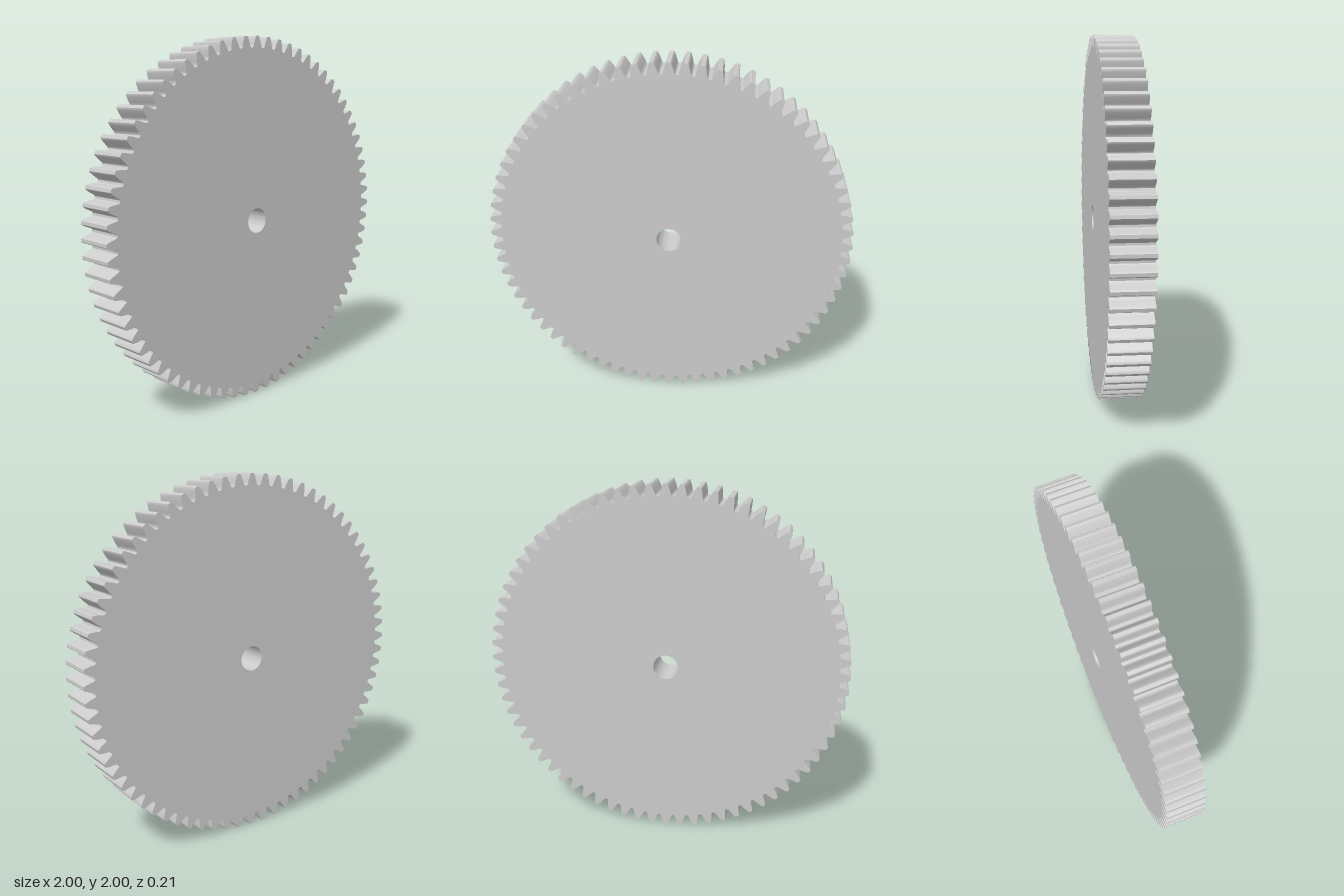
import * as THREE from 'three';
import { toCreasedNormals } from 'three/addons/utils/BufferGeometryUtils.js';

const TEETH = 72;
const TIP = 1, ROOT = 0.938, BORE = 0.069, THICKNESS = 0.214;
const PITCH = TIP * TEETH / (TEETH + 2);
const PRESSURE = THREE.MathUtils.degToRad(20);
const BASE = PITCH * Math.cos(PRESSURE);

const involute = a => Math.tan(a) - a;

// Half the angular width of an involute tooth at radius r
const halfAngle = r =>
  Math.PI / (2 * TEETH) + involute(PRESSURE) - involute(Math.acos(BASE / r));

// One flank as [radius, half angle], from the filleted root to the tip
function flankProfile() {
  const flank = [[ROOT, 0.0375], [0.9395, 0.0352]];
  for (const r of [0.944, 0.958, 0.972, 0.986, 0.997]) flank.push([r, halfAngle(r)]);
  flank.push([TIP, halfAngle(TIP) - 0.002]);
  return flank;
}

function gearShape() {
  const flank = flankProfile();
  const tooth = [
    ...flank.map(([r, a]) => [r, -a]),
    ...flank.slice().reverse(),
  ];
  const points = [];
  for (let i = 0; i < TEETH; i++) {
    // First tooth points straight up
    const centre = Math.PI / 2 + i * 2 * Math.PI / TEETH;
    for (const [r, a] of tooth) {
      points.push(new THREE.Vector2(r * Math.cos(centre + a), r * Math.sin(centre + a)));
    }
  }
  const shape = new THREE.Shape(points);
  // Round shaft bore
  shape.holes.push(new THREE.Path().absarc(0, 0, BORE, 0, Math.PI * 2, true));
  return shape;
}

export function createModel() {
  const group = new THREE.Group();
  group.name = 'spurGear';

  // Toothed disc with flat faces
  let geometry = new THREE.ExtrudeGeometry(gearShape(), {
    depth: THICKNESS, bevelEnabled: false, curveSegments: 32,
  });
  geometry.translate(0, TIP, -THICKNESS / 2);
  geometry = toCreasedNormals(geometry, 0.45);

  const gear = new THREE.Mesh(geometry, new THREE.MeshStandardMaterial({ color: 0xcccccc }));
  gear.name = 'toothedWheel';
  group.add(gear);
  return group;
}
